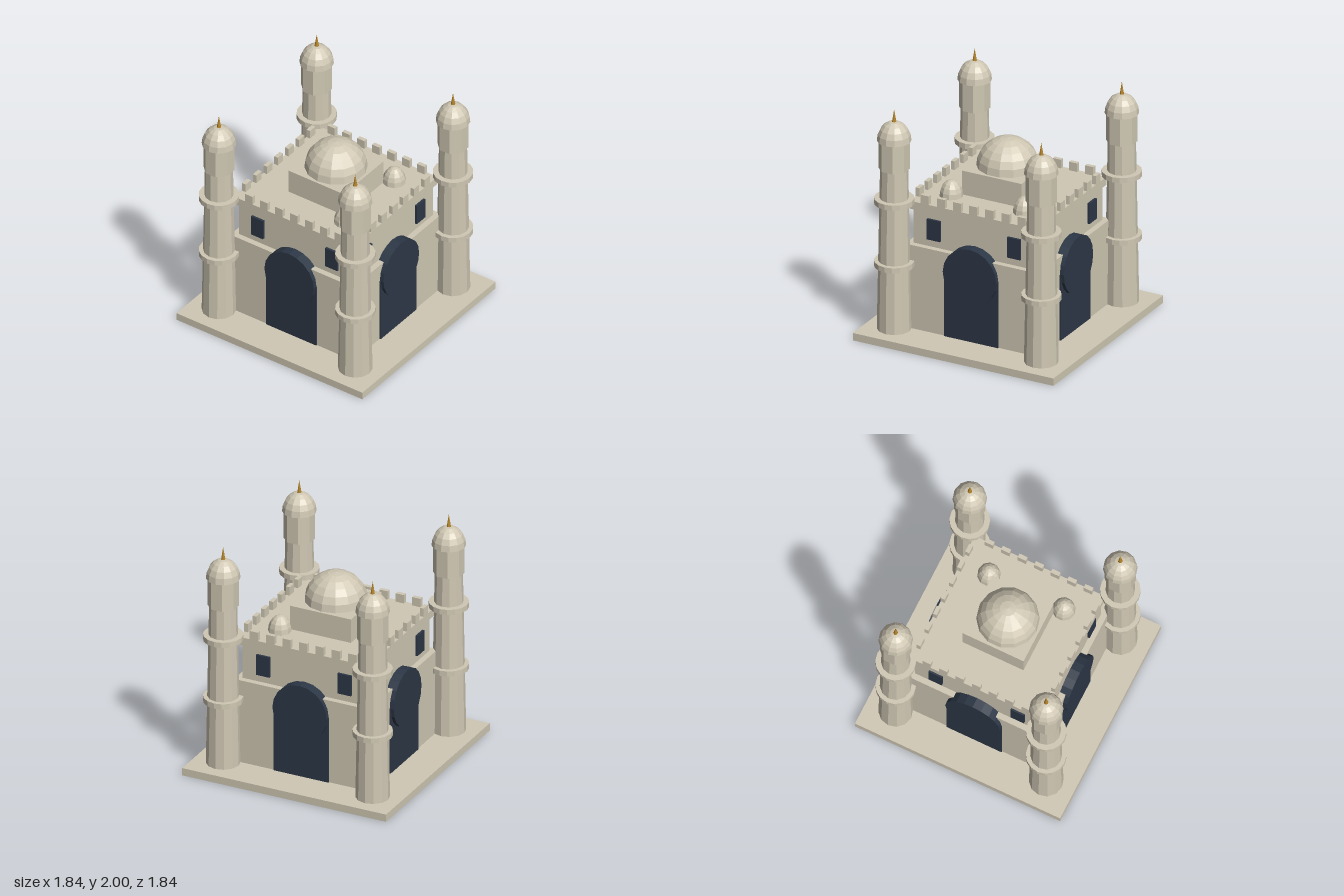
import * as THREE from 'three';

const make = (name, color) => {
  const m = new THREE.MeshStandardMaterial({ color });
  m.name = name;
  m.flatShading = true;
  return m;
};

export function createModel() {
  const stone = make('stone', 0xd0c8b4);
  const dark = make('darkOpening', 0x2c3746);
  const gold = make('gold', 0xb5852a);
  const root = new THREE.Group();
  root.name = 'domedBuilding';

  const add = (parent, name, geometry, material, x, y, z) => {
    const mesh = new THREE.Mesh(geometry, material);
    mesh.name = name;
    mesh.position.set(x, y, z);
    parent.add(mesh);
    return mesh;
  };
  // square block spanning y0..y1
  const block = (name, half, y0, y1) =>
    add(root, name, new THREE.BoxGeometry(half * 2, y1 - y0, half * 2), stone, 0, (y0 + y1) / 2, 0);
  // closed half ellipsoid standing on its base
  const domeGeometry = (r, h, sides, rings) => {
    const profile = [new THREE.Vector2(0, 0)];
    for (let i = 0; i <= rings; i++) {
      const a = (i / rings) * Math.PI / 2;
      profile.push(new THREE.Vector2(i === rings ? 0 : r * Math.cos(a), h * Math.sin(a)));
    }
    return new THREE.LatheGeometry(profile, sides, Math.PI / 2);
  };

  // Stacked masses
  block('plinth', 0.92, 0, 0.065);
  block('lowerBody', 0.61, 0.065, 0.8);
  block('upperBody', 0.56, 0.8, 1.105);
  block('cornice', 0.585, 1.105, 1.175);
  block('domeBase', 0.274, 1.175, 1.385);

  // Domes on the roof
  add(root, 'mainDome', domeGeometry(0.256, 0.245, 14, 6), stone, 0, 1.385, 0);
  for (const s of [-1, 1]) {
    add(root, 'smallDome', domeGeometry(0.096, 0.14, 10, 5), stone, s * 0.336, 1.175, 0.336);
  }

  // Four equal facades: arch, windows and battlements
  for (let k = 0; k < 4; k++) {
    const side = new THREE.Group();
    side.name = 'facade';
    side.rotation.y = k * Math.PI / 2;
    root.add(side);
    add(side, 'doorway', new THREE.BoxGeometry(0.495, 0.58, 0.05), dark, 0, 0.355, 0.595);
    const disc = add(side, 'archDisc', new THREE.CylinderGeometry(0.245, 0.245, 0.1, 20), dark, 0, 0.647, 0.597);
    disc.rotation.x = Math.PI / 2;
    for (const s of [-1, 1]) {
      add(side, 'window', new THREE.BoxGeometry(0.12, 0.18, 0.04), dark, s * 0.368, 0.955, 0.56);
    }
    for (let i = -3; i <= 3; i++) {
      add(side, 'merlon', new THREE.BoxGeometry(0.074, 0.075, 0.035), stone, i * 0.148, 1.2125, 0.5675);
    }
  }

  // Corner towers
  const shaft = new THREE.CylinderGeometry(0.114, 0.14, 1.415, 12);
  const ring = new THREE.CylinderGeometry(0.164, 0.164, 0.046, 16);
  const lantern = new THREE.CylinderGeometry(0.128, 0.128, 0.245, 8);
  lantern.rotateY(Math.PI / 8);
  const cap = domeGeometry(0.14, 0.17, 12, 5);
  const spire = new THREE.ConeGeometry(0.019, 0.115, 8);
  for (const sx of [-1, 1]) {
    for (const sz of [-1, 1]) {
      const tower = new THREE.Group();
      tower.name = 'tower';
      tower.position.set(sx * 0.675, 0, sz * 0.675);
      root.add(tower);
      add(tower, 'shaft', shaft, stone, 0, 0.7725, 0);
      add(tower, 'lowerRing', ring, stone, 0, 0.643, 0);
      add(tower, 'upperRing', ring, stone, 0, 1.197, 0);
      add(tower, 'lantern', lantern, stone, 0, 1.6025, 0);
      add(tower, 'cap', cap, stone, 0, 1.725, 0);
      add(tower, 'spire', spire, gold, 0, 1.9425, 0);
    }
  }
  return root;
}
